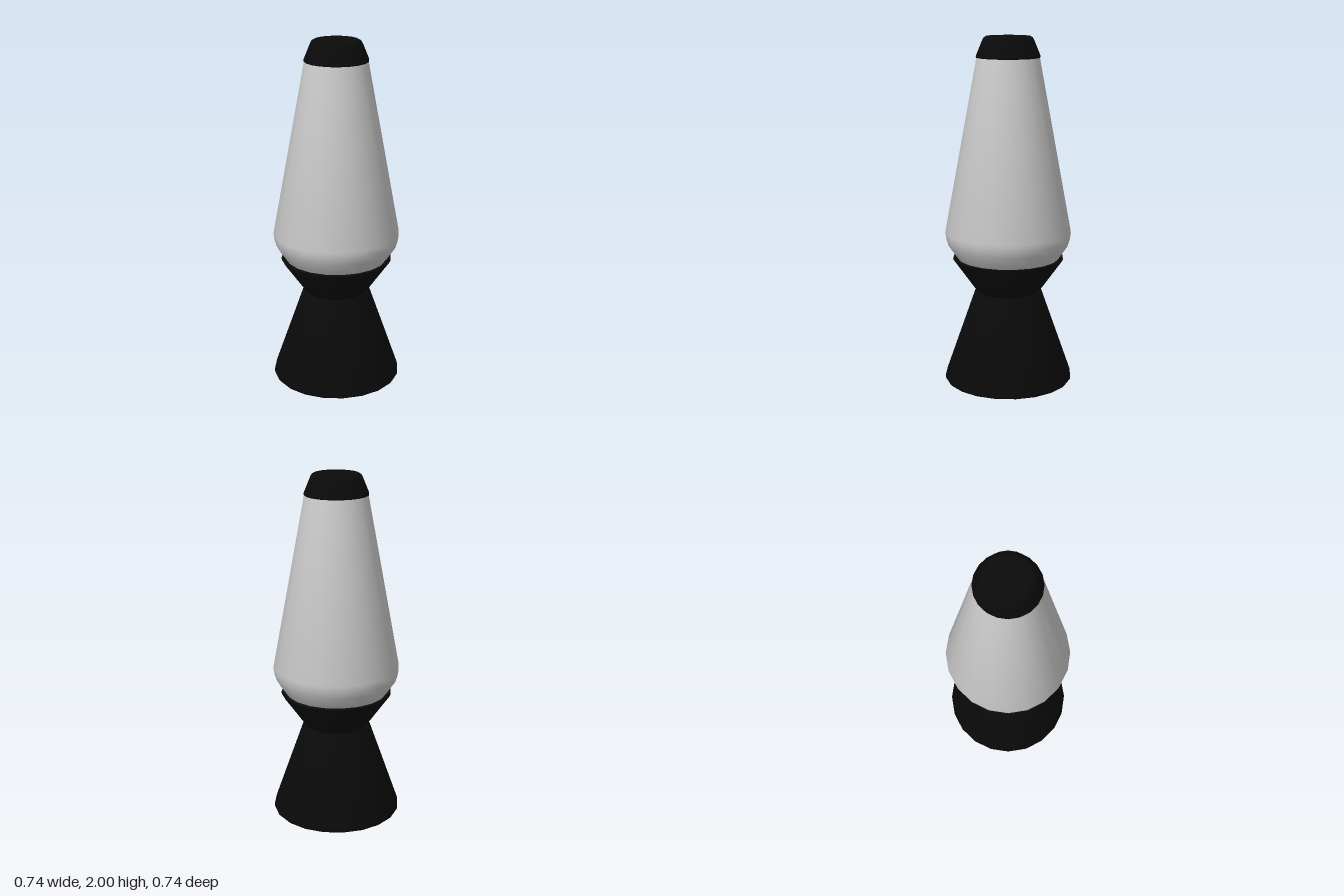
import * as THREE from 'three';
import { toCreasedNormals } from 'three/addons/utils/BufferGeometryUtils.js';

const SIDES = 20;

// Turned part from [radius, height] pairs, listed bottom to top
function turned(name, profile, color) {
  const points = profile.map(([r, y]) => new THREE.Vector2(r, y));
  const geometry = toCreasedNormals(new THREE.LatheGeometry(points, SIDES), Math.PI / 6);
  const material = new THREE.MeshStandardMaterial({ color, side: THREE.DoubleSide });
  const mesh = new THREE.Mesh(geometry, material);
  mesh.name = name;
  return mesh;
}

export function createModel() {
  const group = new THREE.Group();
  group.name = 'lavaLamp';
  const black = 0x0a0a0a;
  const grey = 0xcccccc;

  group.add(
    // Flared foot with a small bevel at the floor
    turned('base', [[0, 0], [0.362, 0], [0.37, 0.01], [0.37, 0.03], [0.197, 0.525], [0.19, 0.535], [0, 0.535]], black),
    // Cup that holds the glass, with a thin rim
    turned('cup', [[0.178, 0.53], [0.317, 0.725], [0.32, 0.735], [0.315, 0.74], [0.295, 0.735], [0.17, 0.56], [0, 0.56]], black),
    // Tapered glass vessel, its lower end hidden in the cup
    turned('glass', [[0, 0.66], [0.235, 0.66], [0.297, 0.74], [0.345, 0.81], [0.358, 0.85], [0.364, 0.89], [0.177, 1.89], [0, 1.89]], grey),
    // Cap with a rounded top edge
    turned('cap', [[0, 1.88], [0.178, 1.88], [0.182, 1.885], [0.18, 1.895], [0.145, 1.98], [0.138, 1.992], [0.124, 2], [0, 2]], black),
  );
  return group;
}
